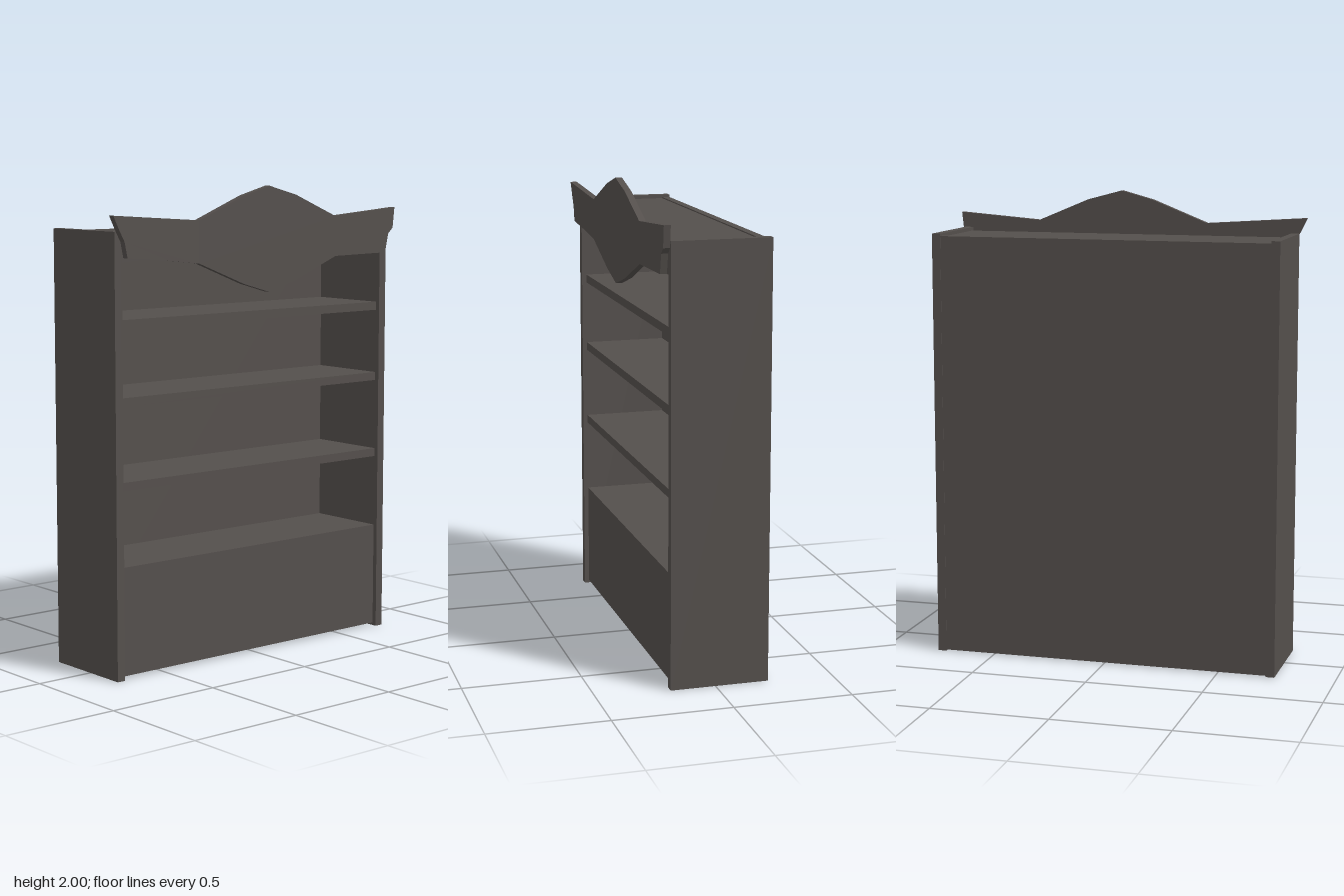
import * as THREE from 'three';

export function createModel() {
  const group = new THREE.Group();
  const wood = new THREE.MeshStandardMaterial({ color: 0x544f4c, flatShading: true });

  // Box given by its limits on each axis
  function board(name, x0, x1, y0, y1, z0, z1) {
    const mesh = new THREE.Mesh(new THREE.BoxGeometry(x1 - x0, y1 - y0, z1 - z0), wood);
    mesh.position.set((x0 + x1) / 2, (y0 + y1) / 2, (z0 + z1) / 2);
    mesh.name = name;
    group.add(mesh);
  }

  const inL = -0.708, inR = 0.72, back = -0.19, front = 0.17;

  // Carcass
  board('rightSide', -0.745, inL, 0, 1.83, -0.225, 0.19);
  board('leftSide', inR, 0.757, 0, 1.83, -0.225, 0.19);
  board('backPanel', inL, inR, 0.005, 1.82, -0.223, back);
  board('topBoard', inL, inR, 1.705, 1.815, back, front);
  board('bottomBoard', inL, inR, 0.012, 0.047, back, front);

  // Shelves, by underside height
  for (const y of [0.43, 0.78, 1.125, 1.44]) {
    board('shelf', inL, inR, y, y + 0.036, back, front);
  }

  // Closed lower front
  board('lowerPanel', inL, inR, 0.047, 0.43, front - 0.03, front);

  // Curved crest board with flared ends
  const outline = [
    [-0.775, 1.895], [-0.745, 1.835], [-0.72, 1.79], [-0.706, 1.725],
    [-0.5, 1.708], [-0.34, 1.69], [-0.1, 1.596], [0.04, 1.556],
    [0.19, 1.6], [0.42, 1.693], [0.72, 1.698], [0.738, 1.78], [0.765, 1.805],
    [0.775, 1.895], [0.415, 1.866], [0.19, 1.96], [0.04, 2.0],
    [-0.1, 1.962], [-0.34, 1.866],
  ];
  const shape = new THREE.Shape(outline.map(([x, y]) => new THREE.Vector2(x, y)));
  const crest = new THREE.Mesh(
    new THREE.ExtrudeGeometry(shape, { depth: 0.028, bevelEnabled: false }), wood);
  crest.position.z = 0.196;
  crest.name = 'crest';
  group.add(crest);

  return group;
}
